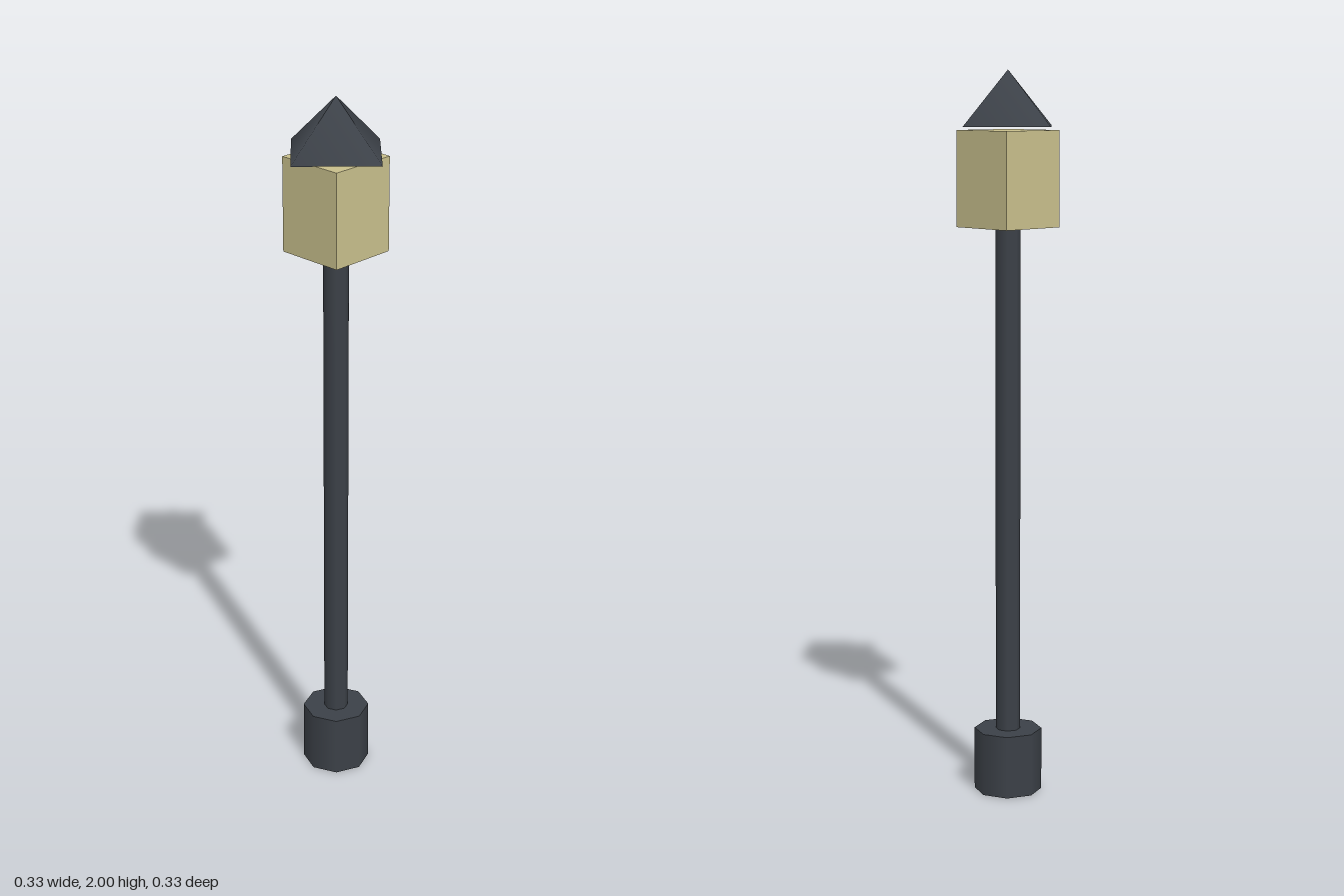
import * as THREE from 'three';

export function createModel() {
  const group = new THREE.Group();
  const iron = new THREE.MeshStandardMaterial({ color: 0x3c4148 });
  iron.name = 'darkIron';
  const glass = new THREE.MeshStandardMaterial({ color: 0xc8bf8c });
  glass.name = 'paleYellowGlass';

  // Adds a named part standing on height y
  const add = (name, geometry, material, y, height) => {
    const mesh = new THREE.Mesh(geometry, material);
    mesh.name = name;
    mesh.position.y = y + height / 2;
    group.add(mesh);
  };

  // Eight-sided foot and slim post
  add('base', new THREE.CylinderGeometry(0.094, 0.094, 0.176, 8), iron, 0, 0.176);
  add('post', new THREE.CylinderGeometry(0.034, 0.034, 1.404, 8), iron, 0.176, 1.404);

  // Lantern box with a four-sided roof floating just above, turned 45 degrees
  add('lantern', new THREE.BoxGeometry(0.196, 0.26, 0.196), glass, 1.58, 0.26);
  add('roof', new THREE.ConeGeometry(0.165, 0.15, 4), iron, 1.85, 0.15);

  return group;
}
